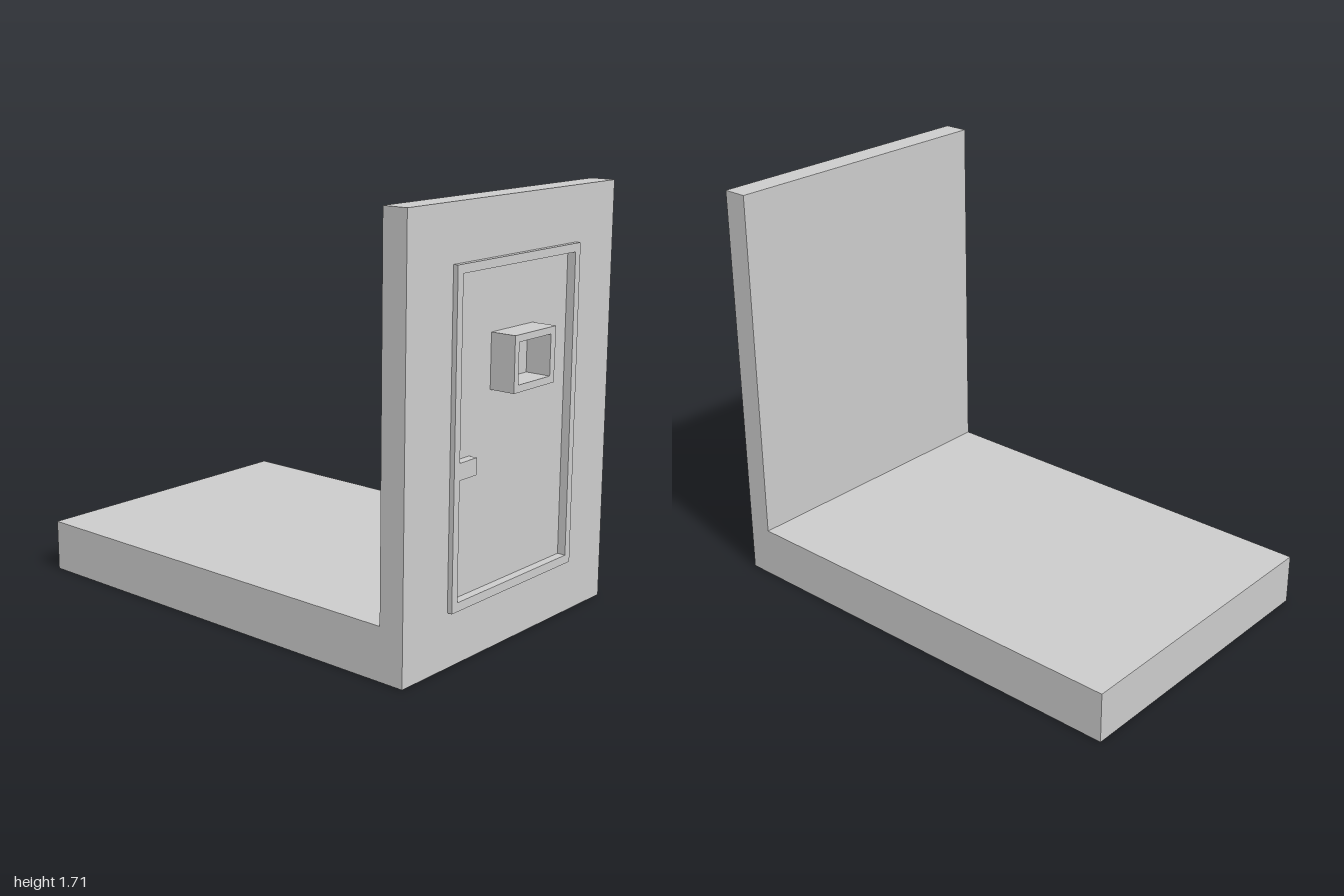
import * as THREE from 'three';

const material = new THREE.MeshStandardMaterial({ color: 0xcccccc, flatShading: true });

const outline = (Type, points) => new Type(points.map(([a, b]) => new THREE.Vector2(a, b)));
// Corners of a rectangle spanning a (= -z) and y
const rect = (a0, a1, y0, y1) => [[a0, y0], [a1, y0], [a1, y1], [a0, y1]];

export function createModel() {
  const model = new THREE.Group();

  const add = (name, geometry) => {
    const mesh = new THREE.Mesh(geometry, material);
    mesh.name = name;
    model.add(mesh);
  };

  // Slab facing +x between x0 and x1, with an optional opening
  const slab = (name, outer, x0, x1, opening) => {
    const shape = outline(THREE.Shape, outer);
    if (opening) shape.holes.push(outline(THREE.Path, opening));
    const geometry = new THREE.ExtrudeGeometry(shape, { depth: x1 - x0, bevelEnabled: false });
    geometry.rotateY(Math.PI / 2).translate(x0, 0, 0);
    add(name, geometry);
  };

  const halfDepth = 0.638;
  const panelX = 0.895, wallX = 0.91, frameX = 0.93;
  const doorway = rect(-0.35, 0.35, 0.25, 1.455);

  // Floor and wall in one L-shaped section; its outer face is the door panel
  const section = outline(THREE.Shape, [
    [-1, 0], [panelX, 0], [panelX, 1.705], [0.805, 1.705], [0.805, 0.212], [-1, 0.212],
  ]);
  const base = new THREE.ExtrudeGeometry(section, { depth: halfDepth * 2, bevelEnabled: false });
  add('floorAndWall', base.translate(0, 0, -halfDepth));

  // Outer layer of the wall and raised trim around the recessed door
  slab('wallFace', rect(-halfDepth, halfDepth, 0, 1.705), panelX, wallX, doorway);
  slab('doorFrame', rect(-0.382, 0.382, 0.215, 1.488), wallX, frameX, doorway);

  // Latch beside the frame
  slab('latch', rect(-0.35, -0.25, 0.71, 0.775), panelX, frameX);

  // Hollow viewing box, slightly narrower at its lower corner
  slab('windowBox', [[-0.13, 1.0], [0.124, 1.0], [0.128, 1.213], [-0.13, 1.213]],
    panelX, 1.0, rect(-0.104, 0.096, 1.028, 1.186));

  // Thin pane over half of the window's back
  slab('windowPane', rect(-0.104, 0, 1.028, 1.186), panelX, panelX + 0.004);

  return model;
}
